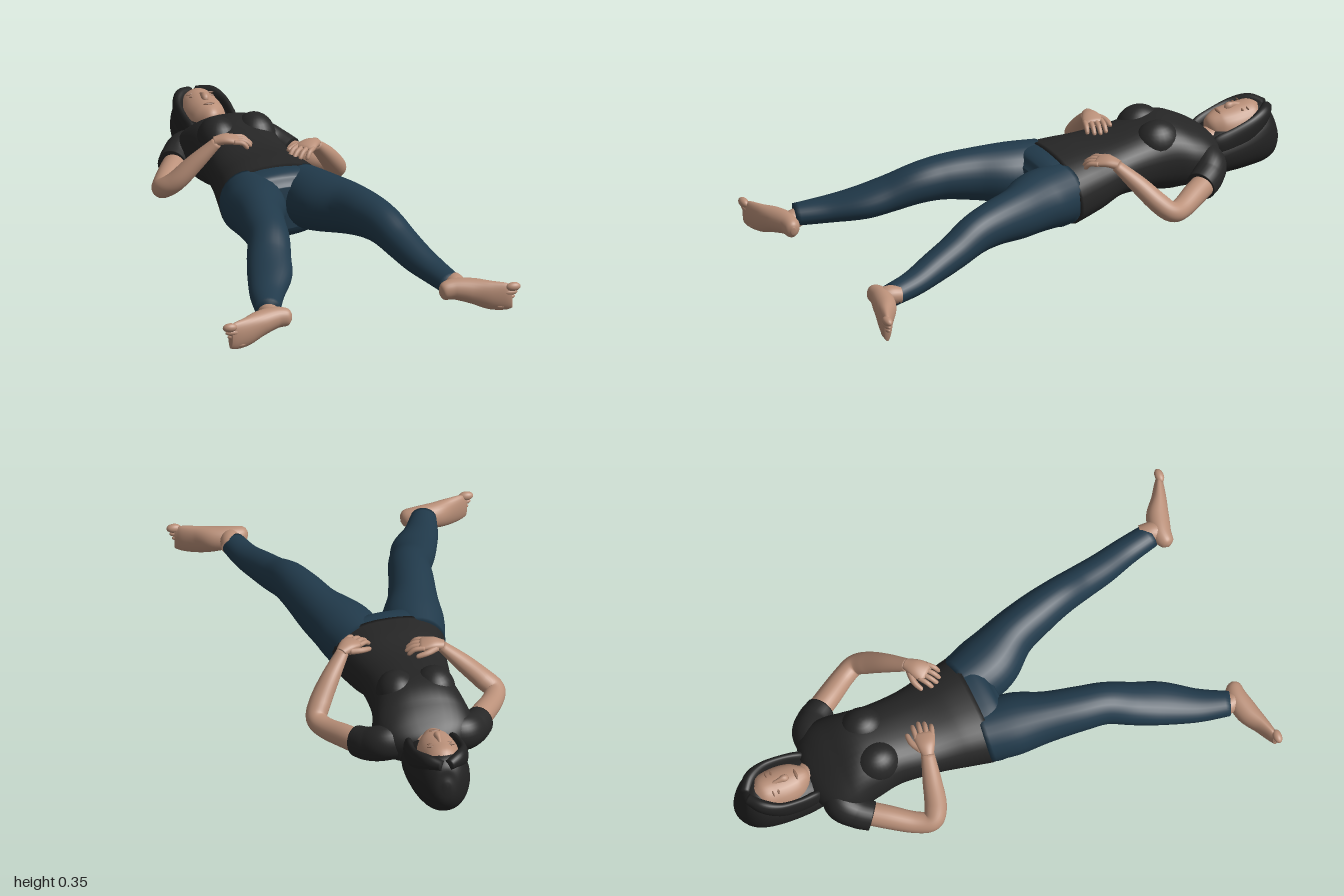
import * as THREE from 'three';

const mat = (name, color) => {
  const m = new THREE.MeshStandardMaterial({ color });
  m.name = name;
  return m;
};

// Smooth closed body through sections [x, y, z, halfWidth, halfHeight].
function loft(rows, { steps = 40, sides = 28, power = 1 } = {}) {
  const spline = (pts) => new THREE.CatmullRomCurve3(pts, false, 'catmullrom', 0.5);
  const path = spline(rows.map(r => new THREE.Vector3(r[0], r[1], r[2])));
  const size = spline(rows.map(r => new THREE.Vector3(r[3], r[4], 0)));
  const up = new THREE.Vector3(0, 1, 0);
  const pos = [], idx = [];
  const bend = v => Math.sign(v) * Math.pow(Math.abs(v), power);
  for (let i = 0; i <= steps; i++) {
    const c = path.getPoint(i / steps), d = size.getPoint(i / steps);
    const t = path.getTangent(i / steps);
    const s = new THREE.Vector3().crossVectors(up, t).normalize();
    const u = new THREE.Vector3().crossVectors(t, s);
    for (let j = 0; j < sides; j++) {
      const a = j / sides * Math.PI * 2;
      const p = c.clone().addScaledVector(s, d.x * bend(Math.cos(a))).addScaledVector(u, d.y * bend(Math.sin(a)));
      pos.push(p.x, p.y, p.z);
    }
  }
  for (let i = 0; i < steps; i++) for (let j = 0; j < sides; j++) {
    const k = (j + 1) % sides, a = i * sides, b = a + sides;
    idx.push(a + j, a + k, b + k, a + j, b + k, b + j);
  }
  // end caps
  const first = path.getPoint(0), last = path.getPoint(1), n = pos.length / 3, e = steps * sides;
  pos.push(first.x, first.y, first.z, last.x, last.y, last.z);
  for (let j = 0; j < sides; j++) {
    const k = (j + 1) % sides;
    idx.push(n, k, j, n + 1, e + j, e + k);
  }
  const g = new THREE.BufferGeometry();
  g.setAttribute('position', new THREE.Float32BufferAttribute(pos, 3));
  g.setIndex(idx);
  g.computeVertexNormals();
  return g;
}

export function createModel() {
  const skin = mat('skin', 0xba9079), shade = mat('lips and lids', 0x8f6a56);
  const shirt = mat('shirt', 0x262626), hair = mat('hair', 0x222222), denim = mat('denim', 0x213a4b);
  const model = new THREE.Group();
  const add = (name, geo, material, parent = model) => {
    const m = new THREE.Mesh(geo, material);
    m.name = name;
    parent.add(m);
    return m;
  };
  const ball = (name, material, [x, y, z], [a, b, c], parent = model) => {
    const m = add(name, new THREE.SphereGeometry(1, 24, 16), material, parent);
    m.position.set(x, y, z);
    m.scale.set(a, b, c);
    return m;
  };

  // Shirt
  add('shirtBody', loft([
    [-.045, .167, -.05, .217, .136], [-.05, .177, -.15, .195, .128], [-.057, .192, -.27, .172, .108],
    [-.057, .195, -.4, .16, .122], [-.06, .192, -.5, .172, .138], [-.06, .178, -.58, .188, .12],
    [-.063, .162, -.65, .18, .095], [-.065, .15, -.695, .13, .07], [-.065, .145, -.71, .07, .045],
  ], { steps: 50, sides: 40, power: .85 }), shirt);
  for (const x of [-.132, .012]) ball('chest', shirt, [x, .26, -.465], [.078, .086, .09]);
  add('rightSleeve', loft([[-.12, .165, -.625, .06, .07], [-.2, .165, -.635, .066, .07],
    [-.25, .15, -.595, .06, .065], [-.285, .142, -.545, .056, .06]]), shirt);
  add('leftSleeve', loft([[-.01, .165, -.625, .06, .07], [.09, .165, -.64, .066, .07],
    [.145, .145, -.61, .06, .065], [.182, .13, -.56, .056, .06]]), shirt);

  // Jeans
  add('jeansHips', loft([[-.045, .167, -.06, .21, .13], [-.045, .167, 0, .222, .13],
    [-.042, .168, .04, .2, .115], [-.04, .17, .065, .13, .08]], { sides: 40, power: .85 }), denim);
  add('rightJeansLeg', loft([
    [-.15, .172, -.04, .112, .12], [-.165, .188, .08, .118, .112], [-.19, .2, .2, .095, .1],
    [-.21, .208, .32, .085, .086], [-.224, .2, .42, .08, .077], [-.255, .168, .52, .083, .066],
    [-.285, .141, .62, .084, .058], [-.335, .118, .74, .066, .047], [-.372, .107, .86, .048, .041],
  ], { steps: 56 }), denim);
  add('leftJeansLeg', loft([
    [.055, .172, -.04, .115, .12], [.095, .188, .08, .12, .112], [.16, .2, .2, .092, .1],
    [.202, .208, .32, .081, .086], [.233, .2, .42, .072, .077], [.264, .168, .52, .066, .066],
    [.293, .141, .62, .061, .058], [.33, .118, .73, .054, .047], [.358, .107, .84, .048, .041],
  ], { steps: 56 }), denim);

  // Feet, turned outward with the big toe uppermost
  for (const [side, s, dy, dz] of [['right', 1, 0, 0], ['left', -1, .022, -.013]]) {
    const foot = new THREE.Group();
    foot.name = side + 'Foot';
    foot.position.set(0, dy, dz);
    model.add(foot);
    const flip = rows => rows.map(r => [r[0] * s, ...r.slice(1)]);
    add('ankle', loft(flip([[-.37, .1 - dy / 2, .825, .038, .034], [-.366, .093, .865, .038, .036],
      [-.355, .085, .905, .036, .034]])), skin, foot);
    add('sole', loft(flip([
      [-.293, .083, .905, .008, .014], [-.308, .084, .903, .028, .033], [-.355, .086, .897, .04, .041],
      [-.42, .076, .912, .043, .049], [-.48, .063, .942, .03, .056], [-.53, .06, .963, .02, .054],
      [-.555, .06, .972, .012, .045]])), skin, foot);
    for (let i = 0; i < 5; i++) {
      const r = i ? .0115 : .017;
      ball('toe', skin, [s * (-.556 + i * .009 - (i ? 0 : .002)), .1 - i * .018 - (i ? .004 : 0), .976 - i * .003],
        [.028, r, r], foot);
    }
  }

  // Arms
  add('rightArm', loft([[-.24, .15, -.6, .045, .045], [-.305, .14, -.5, .045, .045], [-.365, .13, -.405, .041, .04],
    [-.385, .14, -.345, .04, .038], [-.345, .175, -.315, .042, .038], [-.275, .245, -.3, .036, .033],
    [-.195, .322, -.285, .025, .02]], { steps: 60 }), skin);
  add('leftArm', loft([[.15, .14, -.62, .045, .045], [.215, .127, -.52, .045, .045], [.275, .115, -.43, .041, .04],
    [.298, .125, -.375, .04, .038], [.275, .165, -.33, .042, .038], [.225, .23, -.275, .036, .033],
    [.165, .297, -.215, .025, .02]], { steps: 60 }), skin);

  // Hands: palm and fingers run along local +x, thumb on side s
  const hand = (name, [x, y, z], turn, s) => {
    const g = new THREE.Group();
    g.name = name;
    g.position.set(x, y, z);
    g.rotation.y = turn;
    model.add(g);
    add('palm', loft([[-.01, 0, 0, .022, .018], [.03, .009, 0, .034, .018], [.065, .006, 0, .04, .015],
      [.08, .003, 0, .034, .009]]), skin, g);
    for (let i = 0; i < 4; i++) {
      const w = s * (.03 - i * .02), len = [.055, .064, .06, .046][i];
      add('finger', loft([[.06, .006, w, .01, .01], [.07 + len * .5, .002, w * 1.12, .0095, .009],
        [.066 + len * .95, -.015, w * 1.15, .008, .008], [.07 + len, -.019, w * 1.15, .003, .003]],
        { steps: 14, sides: 12 }), skin, g);
    }
    add('thumb', loft([[.015, 0, s * .02, .013, .013], [.05, -.002, s * .05, .012, .011],
      [.085, -.01, s * .06, .009, .009], [.092, -.012, s * .061, .003, .003]], { steps: 14, sides: 12 }), skin, g);
  };
  hand('rightHand', [-.195, .325, -.285], -.2, -1);
  hand('leftHand', [.165, .3, -.215], Math.PI + .72, 1);

  // Neck and face
  add('neck', loft([[-.053, .165, -.76, .056, .06], [-.052, .165, -.7, .057, .065],
    [-.055, .168, -.672, .062, .063], [-.058, .165, -.65, .05, .055]]), skin);
  add('face', loft([
    [-.07, .215, -.95, .03, .05], [-.07, .212, -.91, .068, .078], [-.07, .21, -.86, .077, .08],
    [-.069, .21, -.81, .077, .076], [-.067, .208, -.765, .066, .072], [-.065, .208, -.735, .045, .06],
    [-.063, .205, -.718, .02, .03]]), skin);
  add('nose', loft([[-.07, .278, -.865, .007, .01], [-.07, .286, -.835, .009, .013],
    [-.069, .289, -.812, .014, .015], [-.069, .28, -.798, .01, .008]], { steps: 16, sides: 14 }), skin);
  for (const s of [-1, 1]) {
    ball('eyelid', shade, [-.07 + s * .033, .279, -.85], [.015, .004, .005]);
    ball('eyebrow', shade, [-.07 + s * .034, .281, -.871], [.02, .004, .003]);
  }
  ball('lips', shade, [-.068, .2795, -.765], [.022, .005, .006]);

  // Hair, wrapping the head and falling to the shoulders
  add('hair', loft([
    [-.068, .175, -1, .012, .02], [-.068, .172, -.988, .05, .075], [-.068, .166, -.955, .085, .11],
    [-.068, .157, -.905, .106, .117], [-.066, .145, -.84, .115, .106], [-.064, .135, -.76, .116, .095],
    [-.063, .122, -.7, .108, .082], [-.063, .098, -.64, .09, .055], [-.063, .08, -.6, .06, .03],
  ], { steps: 50, sides: 36, power: .92 }), hair);
  for (const s of [-1, 1]) {
    add('sideLock', loft([
      [-.068 + s * .012, .255, -.965, .02, .02], [-.068 + s * .06, .25, -.925, .024, .034],
      [-.068 + s * .088, .222, -.865, .02, .045], [-.066 + s * .093, .195, -.79, .019, .05],
      [-.064 + s * .085, .18, -.72, .02, .045], [-.063 + s * .072, .175, -.67, .008, .015]]), hair);
  }
  return model;
}
